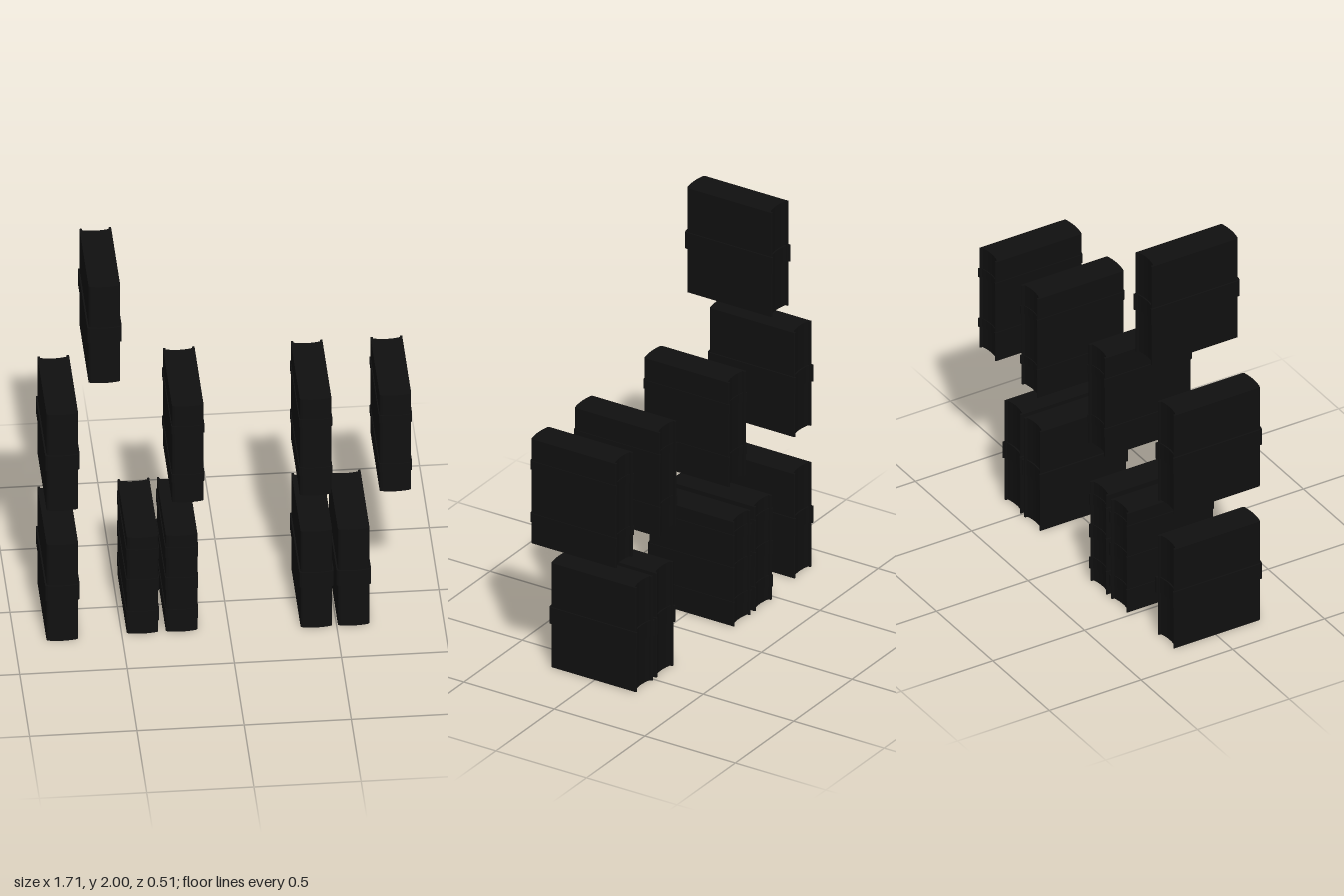
import * as THREE from 'three';

const H = 0.545, W = 0.147, D = 0.48;
const black = new THREE.MeshStandardMaterial({ color: 0x101010 });

// Plan of a book: rounded spine at the front, cover edges and hollow page edge at the back
function plan(grow) {
  const w = W / 2 + grow, f = D / 2 + grow, b = -D / 2 - grow;
  const t = 0.011; // cover thickness
  const s = new THREE.Shape();
  s.moveTo(-w, b + 0.004);
  s.lineTo(-w, f - 0.016);
  s.quadraticCurveTo(-w, f - 0.008, -w + 0.014, f - 0.006);
  s.quadraticCurveTo(0, f + 0.006, w - 0.014, f - 0.006);
  s.quadraticCurveTo(w, f - 0.008, w, f - 0.016);
  s.lineTo(w, b + 0.004);
  s.quadraticCurveTo(w - 0.003, b - 0.001, w - t, b + 0.004);
  s.lineTo(w - t, b + 0.015);
  s.quadraticCurveTo(0, b + 0.033, -w + t, b + 0.015);
  s.lineTo(-w + t, b + 0.004);
  s.quadraticCurveTo(-w + 0.003, b - 0.001, -w, b + 0.004);
  return s;
}

// Upright slab of the plan, starting at y0
function slab(name, grow, y0, height) {
  const geo = new THREE.ExtrudeGeometry(plan(grow), { depth: height, bevelEnabled: false, curveSegments: 10 });
  geo.rotateX(-Math.PI / 2);
  // the rotation turns plan +y to -z, so turn the spine back to the front
  geo.rotateY(Math.PI);
  geo.translate(0, y0, 0);
  const mesh = new THREE.Mesh(geo, black);
  mesh.name = name;
  return mesh;
}

// Raised bands: [offset from mid height, band height, protrusion]
const wide = [[0, 0.085, 0.007]];
const pair = [[-0.137, 0.045, 0.004], [0.137, 0.045, 0.004]];
const triple = [[-0.175, 0.06, 0.004], [0, 0.07, 0.004], [0.175, 0.06, 0.004]];

function book(x, y, z, bands) {
  const g = new THREE.Group();
  g.name = 'book';
  g.add(slab('bookBody', 0, 0, H));
  for (const [off, h, grow] of bands) g.add(slab('raisedBand', grow, H / 2 + off - h / 2, h));
  g.position.set(x, y, z);
  return g;
}

export function createModel() {
  const model = new THREE.Group();
  model.name = 'books';
  const rows = [
    // lower row
    [-0.778, 0.002, 0.01, wide], [-0.402, 0.002, -0.014, triple], [-0.22, 0.002, -0.014, triple],
    [0.406, 0.002, 0.01, wide], [0.58, 0.002, 0.01, wide],
    // middle row
    [-0.778, 0.741, 0.01, wide], [-0.192, 0.741, -0.006, pair], [0.404, 0.741, -0.006, pair],
    [0.776, 0.741, -0.006, pair],
    // upper row
    [-0.582, 1.455, 0.01, wide],
  ];
  for (const r of rows) model.add(book(...r));
  return model;
}
